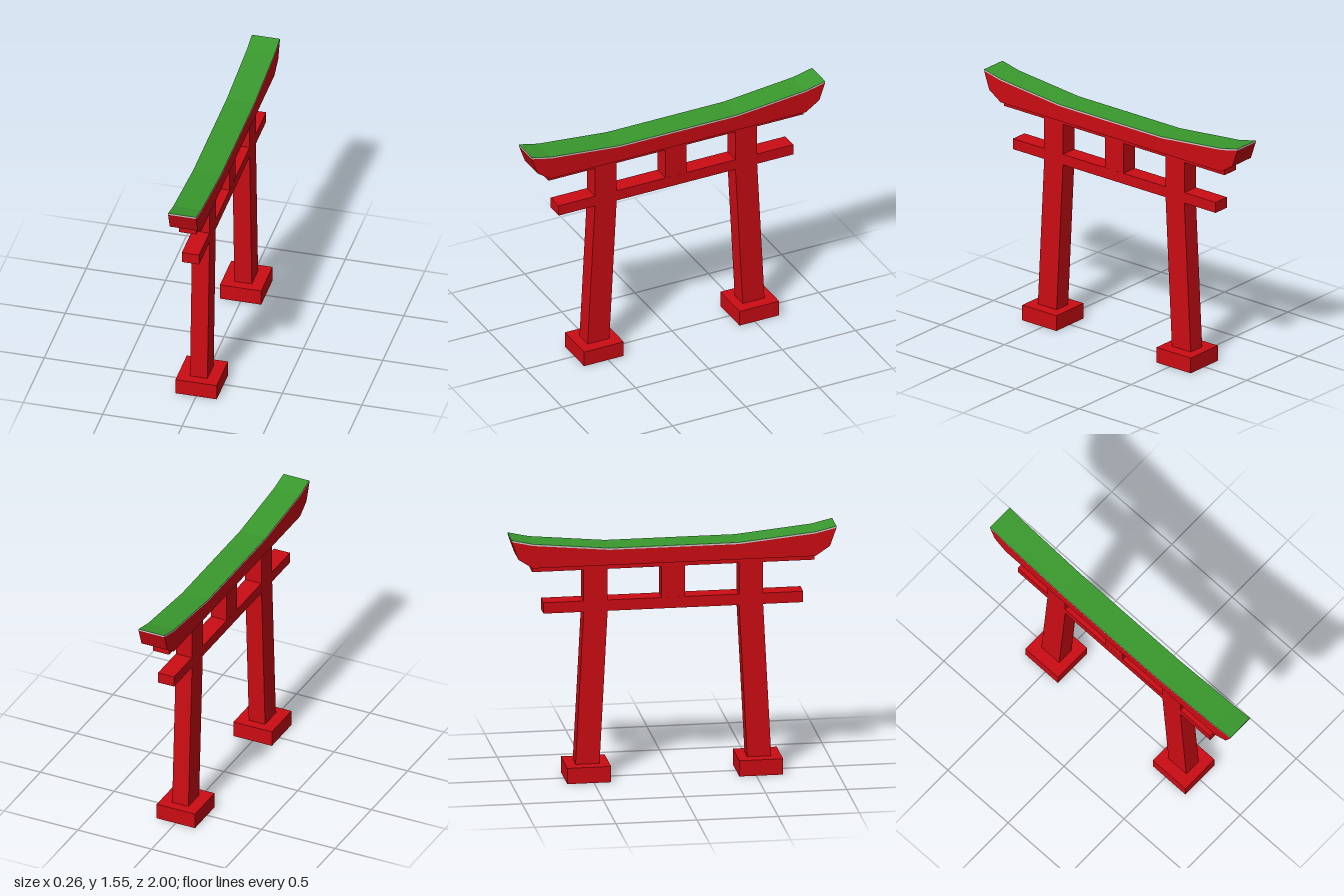
import * as THREE from 'three';

const red = new THREE.MeshStandardMaterial({ color: 0xcc0c14, flatShading: true });
const green = new THREE.MeshStandardMaterial({ color: 0x3a9a2e, flatShading: true });
const grey = new THREE.MeshStandardMaterial({ color: 0xcccccc, flatShading: true });

// Extrude a side outline of [z, y] points across x, centred on x = 0
function slab(name, points, halfWidth, material) {
  const shape = new THREE.Shape(points.map(([z, y]) => new THREE.Vector2(z, y)));
  const geometry = new THREE.ExtrudeGeometry(shape, { depth: halfWidth * 2, bevelEnabled: false });
  geometry.translate(0, 0, -halfWidth).rotateY(-Math.PI / 2);
  const mesh = new THREE.Mesh(geometry, material);
  mesh.name = name;
  return mesh;
}

// Box spanning z0..z1 and y0..y1, centred on x = 0
function block(name, halfWidth, y0, y1, z0, z1) {
  const mesh = new THREE.Mesh(new THREE.BoxGeometry(halfWidth * 2, y1 - y0, z1 - z0), red);
  mesh.position.set(0, (y0 + y1) / 2, (z0 + z1) / 2);
  mesh.name = name;
  return mesh;
}

export function createModel() {
  const group = new THREE.Group();
  group.name = 'gateway';

  // Footings and pillars: leaning below the tie beam, upright above it
  for (const side of [1, -1]) {
    const prefix = side > 0 ? 'front' : 'back';
    const footing = block(prefix + 'Footing', 0.13, 0, 0.1, -0.135, 0.135);
    footing.position.z = side * 0.53;
    const pillar = [[0.455, 0.1], [0.603, 0.1], [0.553, 1.07], [0.553, 1.335], [0.405, 1.335], [0.405, 1.07]];
    group.add(footing, slab(prefix + 'Pillar', pillar.map(([z, y]) => [z * side, y]), 0.055, red));
  }

  // Tie beam, centre strut and lower lintel
  group.add(block('tieBeam', 0.0545, 1.068, 1.137, -0.8, 0.8));
  group.add(block('centreStrut', 0.054, 1.137, 1.335, -0.072, 0.072));
  group.add(block('lowerLintel', 0.055, 1.335, 1.37, -0.87, 0.87));

  // Curved upper lintel, its grey trim and the green roof skin share one top line
  const topLine = [[-1, 1.552], [-0.87, 1.522], [-0.4, 1.476], [0.4, 1.476], [0.87, 1.522], [1, 1.552]];
  const lowered = (drop) => topLine.map(([z, y]) => [z, y - drop]);
  const layer = (top, bottom) => [...lowered(bottom), ...lowered(top).reverse()];
  const underside = [[0.96, 1.428], [0.87, 1.368], [-0.87, 1.368], [-0.96, 1.428]];
  group.add(slab('upperLintel', [...lowered(0.011), ...underside], 0.088, red));
  group.add(slab('roofTrim', layer(0.001, 0.011), 0.088, grey));
  group.add(slab('roofSkin', layer(0, 0.001), 0.088, green));

  return group;
}
